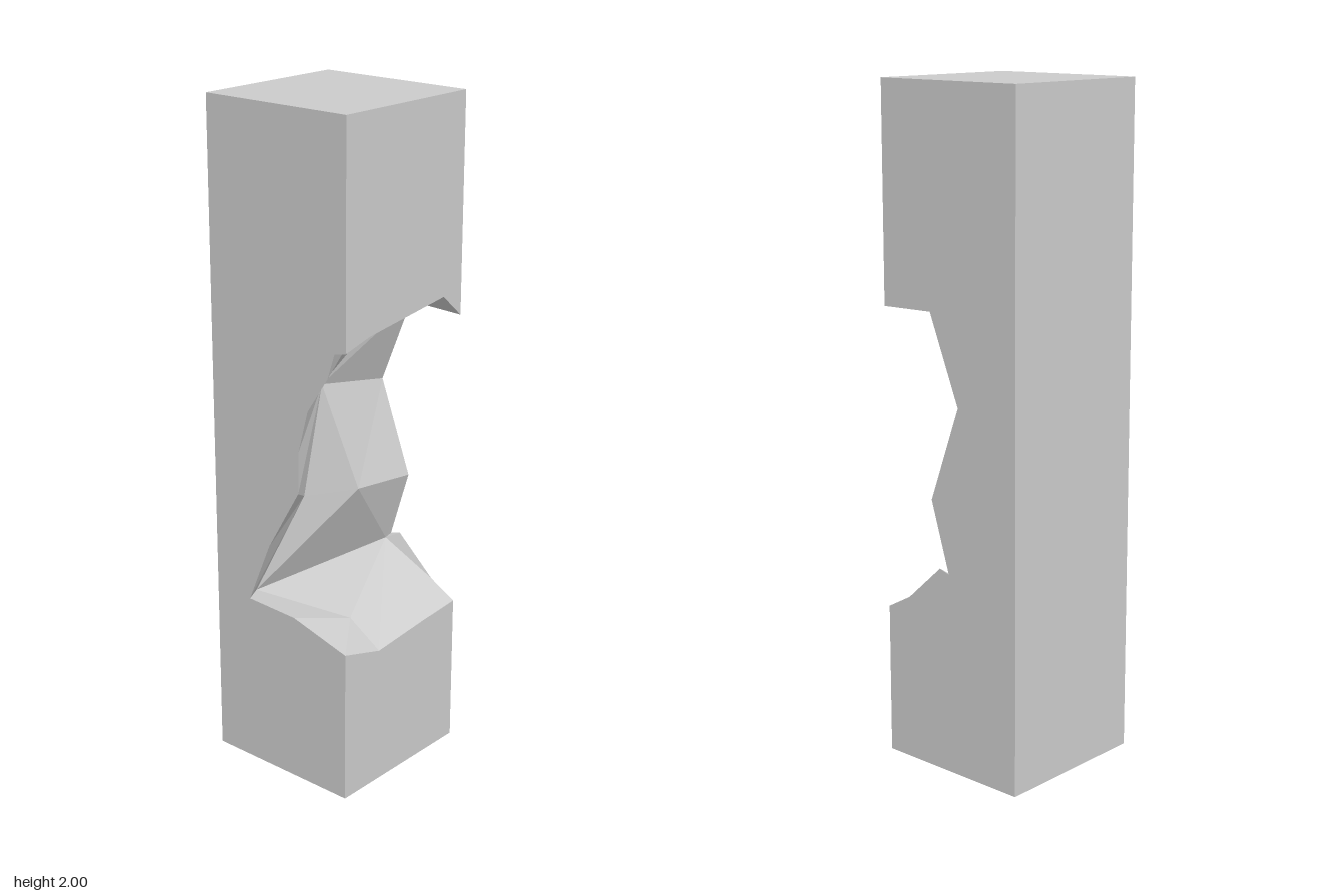
import * as THREE from 'three';

const W = 0.25, H = 2; // half width and height of the post

const material = () => new THREE.MeshStandardMaterial({ color: 0xcccccc, flatShading: true });

function makeMesh(name, triangles) {
  const geometry = new THREE.BufferGeometry();
  geometry.setAttribute('position', new THREE.Float32BufferAttribute(triangles.flat(2), 3));
  geometry.computeVertexNormals();
  const mesh = new THREE.Mesh(geometry, material());
  mesh.name = name;
  return mesh;
}

// Corners inside the hollow that several facets share
const G = [-0.14, 1.375, 0.18], A = [0.2, 1.41, 0.07], B = [-0.03, 1.16, -0.03];
const C = [-0.08, 0.82, -0.056], D = [0.02, 0.845, 0.067], E = [-0.18, 0.52, -0.16];
const F = [0.23, 0.6, 0], K = [-0.1, 0.495, 0.14];

// One row of the hollow, from -x to +x; the ends lie on the post's sides as [y, z]
const row = (left, a, b, right) => [[-W, ...left], a, b, [W, ...right]];

// Rows from the upper rim to the lower lip; repeated corners make triangles
const rows = [
  row([1.365, W], [-0.15, 1.39, W], [0.17, 1.43, W], [1.36, W]),
  row([1.356, 0.21], G, A, [1.365, 0.07]),
  row([1.28, 0.185], G, A, [1.365, 0.07]),
  row([1.17, 0.112], B, B, [1.105, -0.035]),
  row([1.04, 0.077], B, B, [1.105, -0.035]),
  row([0.915, 0.075], C, D, [0.82, 0.07]),
  row([0.72, -0.04], C, D, [0.82, 0.07]),
  row([0.53, -0.12], E, F, [0.61, 0.005]),
  row([0.523, 0.054], K, F, [0.62, 0.04]),
  row([0.523, 0.054], K, F, [0.505, 0.165]),
  row([0.468, W], [-0.1, 0.425, W], [0.1, 0.445, W], [0.457, W]),
];

const same = (p, q) => p.every((v, i) => v === q[i]);

// Faceted surface of the hollow
function hollowTriangles() {
  const out = [];
  const add = (p, q, r) => {
    if (!same(p, q) && !same(q, r) && !same(p, r)) out.push([p, q, r]);
  };
  for (let i = 0; i < rows.length - 1; i++) {
    for (let j = 0; j < 3; j++) {
      const a = rows[i][j], b = rows[i + 1][j], c = rows[i + 1][j + 1], d = rows[i][j + 1];
      if (same(b, d)) add(a, b, c);
      else {
        add(a, b, d);
        add(b, c, d);
      }
    }
  }
  return out;
}

// Flat polygon across one axis, turned to face the given direction
function flat(points, axis, sign) {
  const pts = points.filter((p, i) => i === 0 || !same(p, points[i - 1]));
  const u = (axis + 1) % 3, v = (axis + 2) % 3;
  const contour = pts.map((p) => new THREE.Vector2(p[u], p[v]));
  return THREE.ShapeUtils.triangulateShape(contour, []).map((t) => {
    const [a, b, c] = t.map((i) => pts[i]);
    const area = (b[u] - a[u]) * (c[v] - a[v]) - (b[v] - a[v]) * (c[u] - a[u]);
    return area * sign > 0 ? [a, b, c] : [a, c, b];
  });
}

export function createModel() {
  const group = new THREE.Group();
  group.name = 'hollowedPost';

  // Sides follow the outline of the hollow
  for (const [name, column, s] of [['leftSide', 3, 1], ['rightSide', 0, -1]]) {
    const x = s * W;
    const outline = [...rows.map((r) => r[column]), [x, 0, W], [x, 0, -W], [x, H, -W], [x, H, W]];
    group.add(makeMesh(name, flat(outline, 0, s)));
  }

  // Front faces above and below the hollow
  group.add(makeMesh('upperFront', flat([...rows[0], [W, H, W], [-W, H, W]], 2, 1)));
  group.add(makeMesh('lowerFront', flat([...rows[rows.length - 1], [W, 0, W], [-W, 0, W]], 2, 1)));

  // Back, top and bottom
  group.add(makeMesh('back', flat([[-W, 0, -W], [W, 0, -W], [W, H, -W], [-W, H, -W]], 2, -1)));
  for (const [name, y, s] of [['top', H, 1], ['bottom', 0, -1]]) {
    group.add(makeMesh(name, flat([[-W, y, -W], [W, y, -W], [W, y, W], [-W, y, W]], 1, s)));
  }

  group.add(makeMesh('hollow', hollowTriangles()));
  return group;
}
